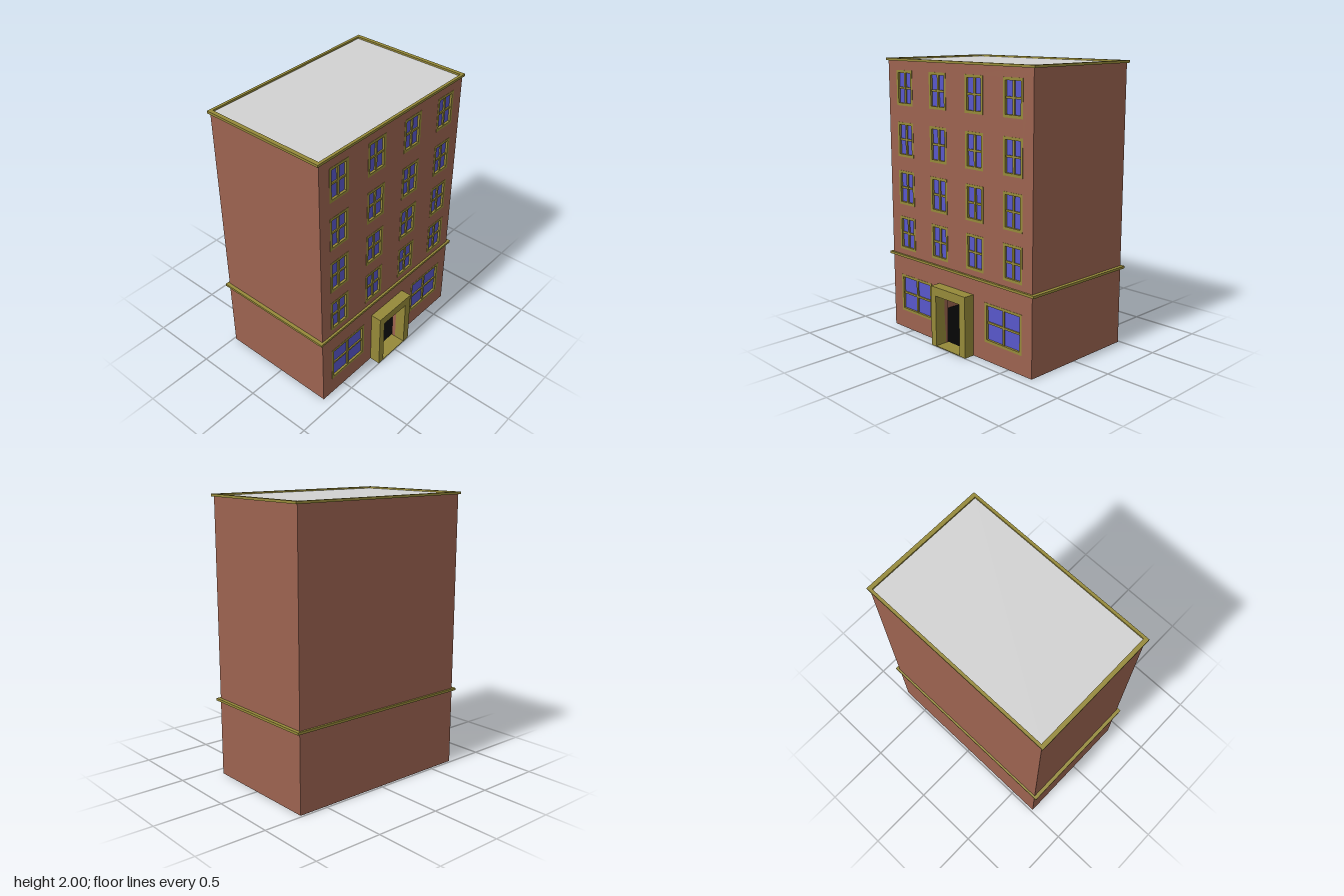
import * as THREE from 'three';

const mat = (name, color) => {
  const m = new THREE.MeshStandardMaterial({ color });
  m.name = name;
  return m;
};

// Building limits: the decorated facade faces +x
const X0 = -0.485, X1 = 0.42, Z = 0.71, TOP = 1.985, WALL = 0.03;

export function createModel() {
  const model = new THREE.Group();
  model.name = 'building';
  const brick = mat('brick', 0x9c6350);
  const trim = mat('olive trim', 0x958939);
  const glass = mat('blue glass', 0x5857ca);
  const roofGrey = mat('roof grey', 0xd2d2d2);
  const black = mat('black base', 0x050505);

  const add = (parent, name, geometry, material) => {
    const mesh = new THREE.Mesh(geometry, material);
    mesh.name = name;
    parent.add(mesh);
    return mesh;
  };
  // Box given by its limits on each axis
  const box = (parent, name, material, x0, x1, y0, y1, z0, z1) => {
    const mesh = add(parent, name, new THREE.BoxGeometry(x1 - x0, y1 - y0, z1 - z0), material);
    mesh.position.set((x0 + x1) / 2, (y0 + y1) / 2, (z0 + z1) / 2);
    return mesh;
  };
  const trace = (path, a0, a1, b0, b1) =>
    path.moveTo(a0, b0).lineTo(a1, b0).lineTo(a1, b1).lineTo(a0, b1).closePath();
  const extrude = (shape, depth) => new THREE.ExtrudeGeometry(shape, { depth, bevelEnabled: false });

  // Window openings: four upper floors and two wide ground-floor windows
  const windows = [];
  for (const y of [0.613, 0.952, 1.303, 1.67])
    for (const z of [0.535, 0.18, -0.18, -0.535])
      windows.push({ z0: z - 0.086, z1: z + 0.086, y0: y, y1: y + 0.249 });
  for (const z of [0.447, -0.447])
    windows.push({ z0: z - 0.172, z1: z + 0.172, y0: 0.135, y1: 0.415 });

  // Facade with window and doorway openings
  const facade = new THREE.Shape();
  facade.moveTo(-Z, 0).lineTo(-0.14, 0).lineTo(-0.14, 0.375).lineTo(0.105, 0.375)
    .lineTo(0.105, 0).lineTo(Z, 0).lineTo(Z, TOP).lineTo(-Z, TOP).closePath();
  for (const w of windows) {
    const hole = new THREE.Path();
    trace(hole, -w.z1, -w.z0, w.y0, w.y1);
    facade.holes.push(hole);
  }
  const front = add(model, 'facadeWall', extrude(facade, WALL), brick);
  front.rotation.y = Math.PI / 2;
  front.position.x = X1 - WALL;

  // Plain walls, floor and flat roof
  box(model, 'rearWall', brick, X0, X0 + WALL, 0, TOP, -Z, Z);
  for (const s of [1, -1]) {
    const a = s * Z, b = s * (Z - WALL);
    box(model, 'sideWall', brick, X0 + WALL, X1 - WALL, 0, TOP, Math.min(a, b), Math.max(a, b));
  }
  box(model, 'floor', black, X0 + 0.001, X1 - 0.001, -0.001, 0.003, -Z + 0.001, Z - 0.001);
  box(model, 'roof', roofGrey, X0 + 0.005, X1 - 0.005, 1.975, 1.987, -Z + 0.005, Z - 0.005);

  // Framed windows with a cross of glazing bars
  for (const w of windows) {
    const g = new THREE.Group();
    g.name = 'window';
    model.add(g);
    const f = 0.019, zc = (w.z0 + w.z1) / 2, yc = (w.y0 + w.y1) / 2;
    const shape = new THREE.Shape();
    trace(shape, -w.z1, -w.z0, w.y0, w.y1);
    const hole = new THREE.Path();
    trace(hole, -w.z1 + f, -w.z0 - f, w.y0 + f, w.y1 - f);
    shape.holes.push(hole);
    const frame = add(g, 'windowFrame', extrude(shape, WALL), trim);
    frame.rotation.y = Math.PI / 2;
    frame.position.x = X1 - WALL + 0.002;
    box(g, 'windowPane', glass, X1 - 0.022, X1 - 0.014, w.y0 + f, w.y1 - f, w.z0 + f, w.z1 - f);
    box(g, 'verticalBar', trim, X1 - 0.024, X1 - 0.004, w.y0 + f, w.y1 - f, zc - 0.008, zc + 0.008);
    box(g, 'horizontalBar', trim, X1 - 0.024, X1 - 0.005, yc - 0.007, yc + 0.007, w.z0 + f, w.z1 - f);
  }

  // Projecting door surround
  const surround = new THREE.Group();
  surround.name = 'doorSurround';
  model.add(surround);
  box(surround, 'leftJamb', trim, X1 - 0.01, 0.5, 0, 0.375, 0.14, 0.19);
  box(surround, 'rightJamb', trim, X1 - 0.01, 0.5, 0, 0.375, -0.162, -0.105);
  box(surround, 'lintel', trim, X1 - 0.01, 0.5, 0.375, 0.44, -0.162, 0.19);
  box(surround, 'threshold', trim, X1 - WALL, 0.5, 0, 0.005, -0.105, 0.14);

  // Horizontal trim rings: roof edge and ground-floor band
  const ring = (name, x0, x1, z, ix0, ix1, iz, y0, y1) => {
    const shape = new THREE.Shape();
    trace(shape, x0, x1, -z, z);
    const hole = new THREE.Path();
    trace(hole, ix0, ix1, -iz, iz);
    shape.holes.push(hole);
    const mesh = add(model, name, extrude(shape, y1 - y0), trim);
    mesh.rotation.x = -Math.PI / 2;
    mesh.position.y = y0;
  };
  ring('roofEdge', -0.495, 0.43, 0.726, -0.475, 0.41, 0.697, 1.983, 2);
  ring('floorBand', -0.5, 0.436, 0.736, X0 + 0.01, X1 - 0.01, Z - 0.01, 0.555, 0.572);

  return model;
}
